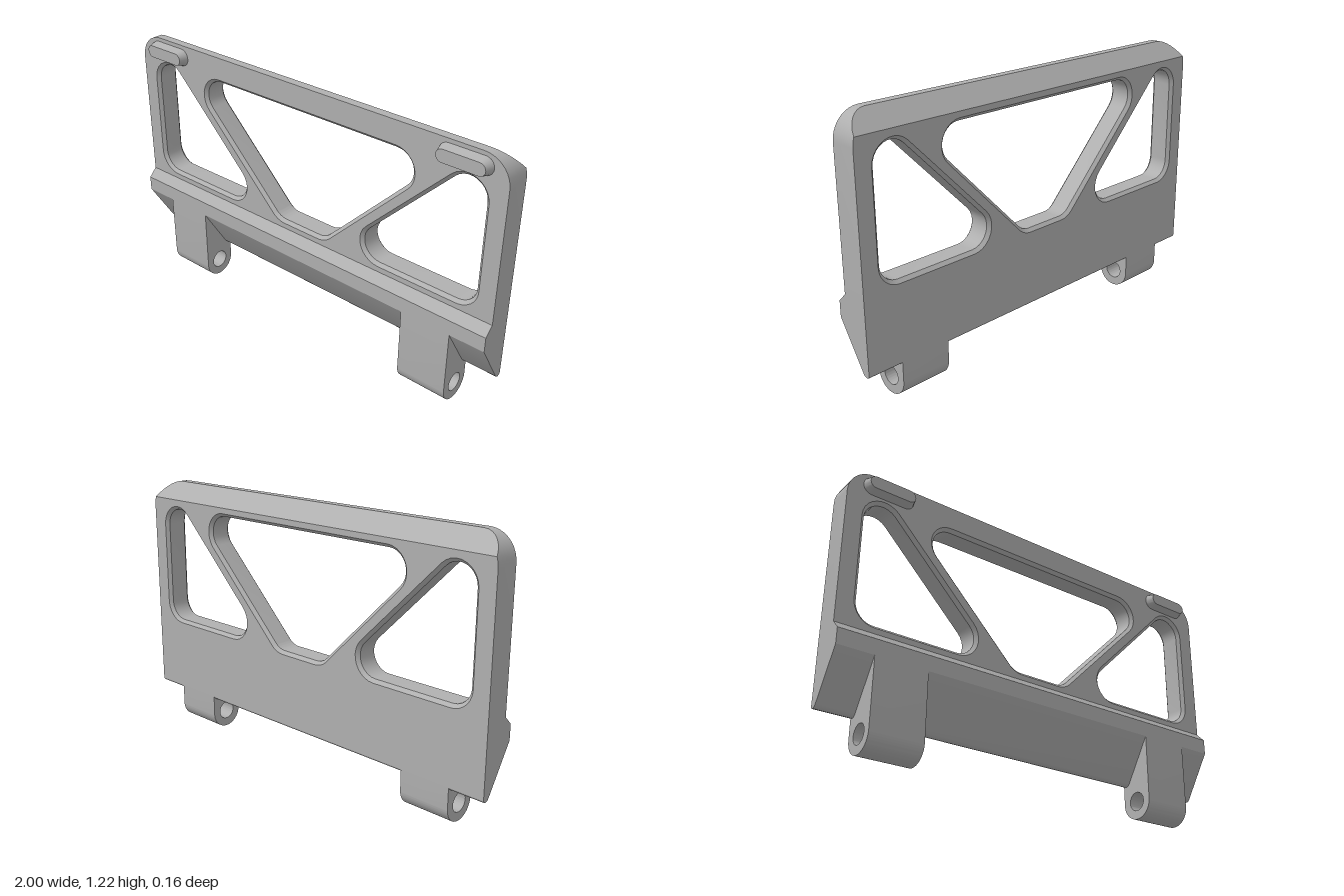
import * as THREE from 'three';
import { mergeGeometries, toCreasedNormals } from 'three/addons/utils/BufferGeometryUtils.js';

const FRONT = 0.04, BACK = -0.08, BEVEL = 0.015;
const V = (x, y) => new THREE.Vector2(x, y);

// Counterclockwise outline around equal circles of radius r at the given centres
function roundLoop(centres, r, steps = 10) {
  const n = centres.length;
  const edgeNormal = (a, b) => Math.atan2(b[1] - a[1], b[0] - a[0]) - Math.PI / 2;
  return centres.flatMap((c, i) => {
    const a0 = edgeNormal(centres[(i + n - 1) % n], c);
    const a1 = edgeNormal(c, centres[(i + 1) % n]);
    const turn = (a1 - a0 + 4 * Math.PI) % (2 * Math.PI);
    return Array.from({ length: steps + 1 }, (_, k) => {
      const a = a0 + turn * k / steps;
      return V(c[0] + r * Math.cos(a), c[1] + r * Math.sin(a));
    });
  });
}

// Walls between matching loops; each section is [points, z or z(y)]
function loft(sections) {
  const n = sections[0][0].length, pos = [], idx = [];
  for (const [pts, z] of sections)
    for (const p of pts) pos.push(p.x, p.y, typeof z === 'function' ? z(p.y) : z);
  for (let s = 0; s < sections.length - 1; s++)
    for (let i = 0; i < n; i++) {
      const a = s * n + i, b = s * n + (i + 1) % n;
      idx.push(a, b, b + n, a, b + n, a + n);
    }
  const g = new THREE.BufferGeometry();
  g.setAttribute('position', new THREE.Float32BufferAttribute(pos, 3));
  g.setIndex(idx);
  return g.toNonIndexed();
}

// Flat face with holes, at z or z(y), optionally facing backwards
function face(pts, holes, z, flip = false) {
  const shape = new THREE.Shape(pts);
  shape.holes = holes.map(h => new THREE.Path(h));
  const g = new THREE.ShapeGeometry(shape);
  g.deleteAttribute('uv');
  g.deleteAttribute('normal');
  const p = g.attributes.position;
  for (let i = 0; i < p.count; i++) p.setZ(i, typeof z === 'function' ? z(p.getY(i)) : z);
  if (flip) g.setIndex(Array.from(g.index.array).reverse());
  return g.toNonIndexed();
}

const finish = parts => toCreasedNormals(mergeGeometries(parts), 0.5);

// Side profile of [z, y] points extruded along x
function alongX(shape, x0, x1) {
  const g = new THREE.ExtrudeGeometry(shape, { depth: x1 - x0, bevelEnabled: false, curveSegments: 24 });
  g.rotateY(Math.PI / 2);
  g.translate(x0, 0, 0);
  return toCreasedNormals(g, 0.5);
}
const side = pts => pts.map(([z, y]) => V(-z, y));

function plateGeometry() {
  // Outline with two rounded top corners
  const r = 0.12, cy = 1.095, outline = [V(-1, 0.5), V(1, 0.5)];
  for (const [cx, start] of [[1 - r, 0], [r - 1, 90]])
    for (let d = 0; d <= 90; d += 10) {
      const a = (start + d) * Math.PI / 180;
      outline.push(V(cx + r * Math.cos(a), cy + r * Math.sin(a)));
    }
  // Sloping top of the back
  const kink = cy + r * Math.sin(Math.PI / 9);
  const backZ = y => BACK + Math.max(0, y - kink);

  // Truss openings
  const sideHole = [[-0.825, 1.005], [-0.825, 0.615], [-0.435, 0.615]];
  const openings = [
    [[-0.493, 1.01], [-0.099, 0.615], [0.099, 0.615], [0.493, 1.01]],
    sideHole,
    sideHole.map(([x, y]) => [-x, y]).reverse(),
  ];
  const wide = openings.map(o => roundLoop(o, 0.1));
  const narrow = openings.map(o => roundLoop(o, 0.1 - BEVEL));

  return finish([
    face(outline, wide, FRONT),
    face(outline.filter(p => p.y < kink + 1e-4), wide, BACK, true),
    face(outline.filter(p => p.y > kink - 1e-4), [], backZ, true),
    loft([[outline, backZ], [outline, FRONT]]),
    ...wide.map((w, i) => loft([
      [w, FRONT], [narrow[i], FRONT - BEVEL], [narrow[i], BACK + BEVEL], [w, BACK],
    ])),
  ]);
}

export function createModel() {
  const group = new THREE.Group();
  const grey = new THREE.MeshStandardMaterial({ color: 0xb0b0b0 });
  grey.name = 'grey';
  const add = (name, geometry) => {
    const mesh = new THREE.Mesh(geometry, grey);
    mesh.name = name;
    group.add(mesh);
  };

  add('trussPlate', plateGeometry());

  // Thick lower rail with slanted underside
  const underside = [[0.08, 0.38], [-0.045, 0.178], [-0.053, 0.169], [-0.063, 0.165], [-0.074, 0.167], [-0.08, 0.176]];
  add('lowerRail', alongX(new THREE.Shape(side([
    [BACK, 0.5], [FRONT, 0.5], [FRONT, 0.49], [0.08, 0.45], ...underside,
  ])), -1, 1));

  // Hinge lugs with pin holes
  const lug = new THREE.Shape(side([...underside].reverse()));
  lug.lineTo(-0.08, 0.08);
  lug.absarc(0, 0.08, 0.08, Math.PI, 2 * Math.PI, false);
  lug.closePath();
  lug.holes.push(new THREE.Path().absarc(0, 0.083, 0.043, 0, 2 * Math.PI, true));
  add('leftHingeLug', alongX(lug, 0.595, 0.836));
  add('rightHingeLug', alongX(lug, -0.836, -0.595));

  // Tapered bumper pads at the top corners
  for (const [name, x] of [['leftBumperPad', 0.81], ['rightBumperPad', -0.81]]) {
    const centres = [[x - 0.08, 1.157], [x + 0.08, 1.157]];
    const base = roundLoop(centres, 0.04), tip = roundLoop(centres, 0.028);
    add(name, finish([loft([[base, FRONT], [tip, 0.08]]), face(tip, [], 0.08)]));
  }
  return group;
}
